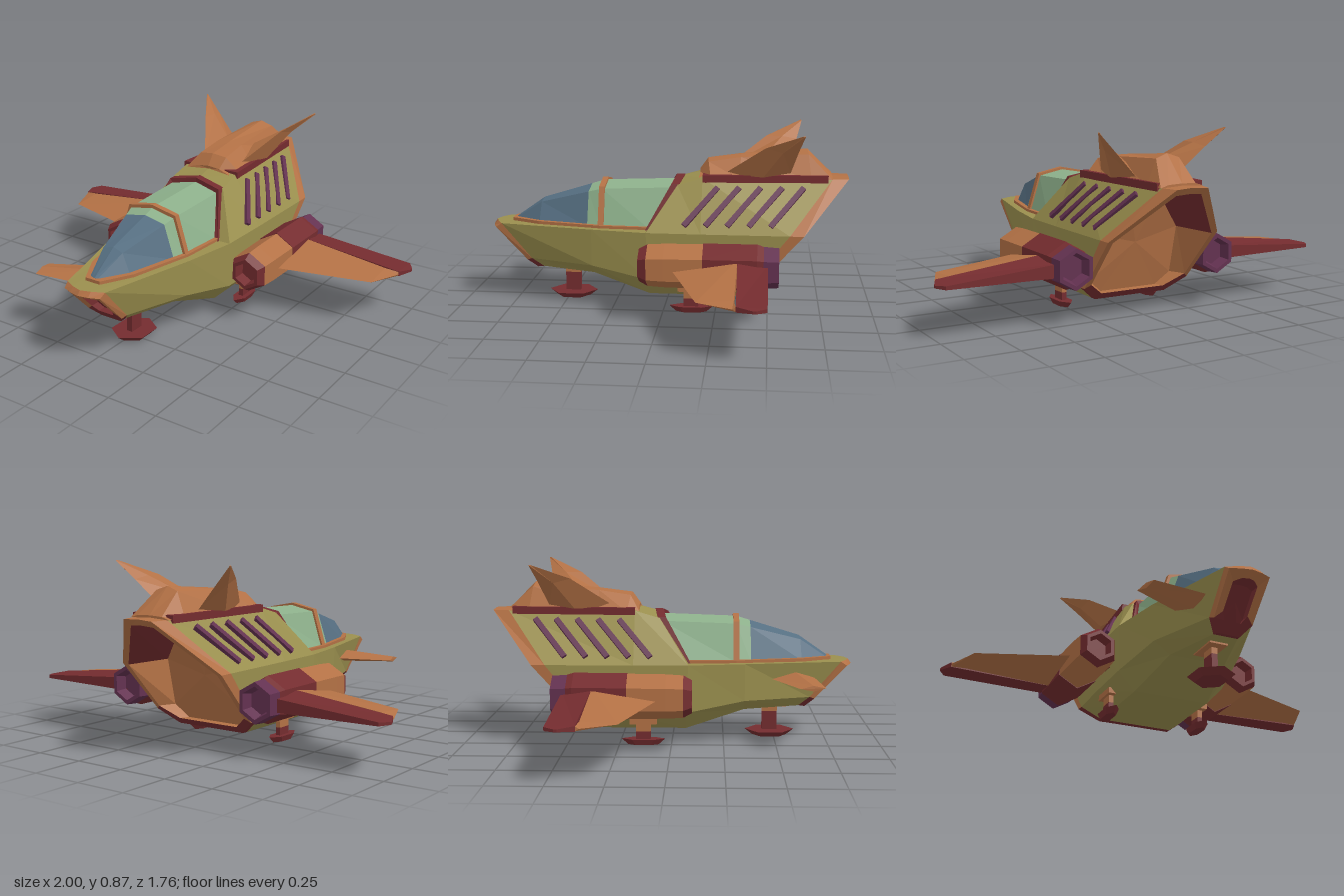
import * as THREE from 'three';

const mat = (name, color) => {
  const m = new THREE.MeshStandardMaterial({ color, side: THREE.DoubleSide });
  m.name = name;
  return m;
};

// Flat normals for a faceted look
const facet = (geo) => {
  const g = geo.index ? geo.toNonIndexed() : geo;
  g.computeVertexNormals();
  return g;
};

// Skin between rings of [x, y, z]; solid lofts are capped and turned outward
function loft(rings, { closed = true, solid = false } = {}) {
  const tris = [], n = rings[0].length;
  const all = solid ? [collapse(rings[0]), ...rings, collapse(rings[rings.length - 1])] : rings;
  for (let i = 0; i < all.length - 1; i++) {
    for (let j = 0; j < (closed ? n : n - 1); j++) {
      const k = (j + 1) % n, a = all[i][j], b = all[i][k], c = all[i + 1][j], d = all[i + 1][k];
      tris.push([a, c, b], [b, c, d]);
    }
  }
  const v = (p) => new THREE.Vector3(...p);
  let volume = 0;
  for (const [a, b, c] of tris) volume += v(a).dot(v(b).cross(v(c)));
  const pos = [];
  for (const [a, b, c] of tris) {
    const area = v(b).sub(v(a)).cross(v(c).sub(v(a))).length();
    if (area < 1e-7) continue;
    pos.push(...a, ...(solid && volume < 0 ? [...c, ...b] : [...b, ...c]));
  }
  const g = new THREE.BufferGeometry();
  g.setAttribute('position', new THREE.Float32BufferAttribute(pos, 3));
  return facet(g);
}

const collapse = (ring) => {
  const c = [0, 1, 2].map((k) => ring.reduce((s, p) => s + p[k], 0) / ring.length);
  return ring.map(() => c);
};
// Mirror a right-hand half section into a full one
const ring = (...half) => [
  ...half,
  ...half.filter((p) => p[0] > 0).reverse().map(([x, y, z]) => [-x, y, z]),
];
const lerpRing = (a, b, t) => a.map((p, i) => p.map((v, k) => v + (b[i][k] - v) * t));

export function createModel() {
  const root = new THREE.Group();
  root.name = 'spacecraft';
  const olive = mat('olive hull', 0x9a8f4e), orange = mat('copper trim', 0xb37145);
  const red = mat('dark red trim', 0x742c2f), purple = mat('plum vents', 0x633150);
  const green = mat('green glass', 0x8db08b), blue = mat('blue glass', 0x566f82);
  const add = (name, geo, material, parent = root) => {
    const m = new THREE.Mesh(geo, material);
    m.name = name;
    parent.add(m);
    return m;
  };

  // Hull sections: keel edge, chine, shoulder, roof edge, roof centre
  const n3 = ring([.04, .2, .65], [.06, .23, .67], [.06, .33, .76], [.03, .34, .77], [0, .34, .775]);
  const n2 = ring([.04, .2, .69], [.06, .23, .715], [.06, .33, .81], [.03, .34, .835], [0, .34, .845]);
  const n1 = ring([.055, .155, .65], [.095, .2, .695], [.1, .365, .85], [.05, .365, .87], [0, .365, .88]);
  const nose = ring([.06, .16, .62], [.105, .21, .67], [.105, .385, .82], [.05, .387, .85], [0, .387, .865]);
  const front = ring([.14, .155, .35], [.22, .21, .35], [.23, .39, .35], [.12, .39, .35], [0, .39, .35]);
  const deckEnd = ring([.19, .07, .07], [.275, .16, .07], [.28, .39, .08], [.14, .39, .08], [0, .39, .08]);
  const wall = ring([.19, .07, .06], [.275, .16, .06], [.28, .39, .08], [.15, .6, -.06], [0, .625, -.075]);
  const mid = ring([.19, .07, -.18], [.28, .15, -.18], [.287, .39, -.18], [.145, .635, -.18], [0, .65, -.18]);
  const tail = ring([.19, .07, -.35], [.28, .14, -.4], [.29, .39, -.6], [.1, .63, -.8], [0, .635, -.8]);
  const rim = ring([.19, .07, -.38], [.28, .14, -.44], [.29, .39, -.666], [.08, .63, -.88], [0, .635, -.88]);
  const lip = ring([.17, .1, -.405], [.255, .16, -.46], [.262, .385, -.66], [.065, .6, -.85], [0, .605, -.855]);
  const bay = ring([.15, .1, -.36], [.22, .16, -.38], [.23, .385, -.42], [.08, .56, -.5], [0, .56, -.5]);
  const upper = (r) => r.slice(1, 8), lower = (r) => [r[7], r[8], r[0], r[1]];

  add('hull', loft([nose, front, deckEnd, wall, mid, tail]), olive);
  add('noseIntake', loft([collapse(n3), n3, n2]), red);
  for (const [name, rings] of [['nose', [n2, n1, nose]], ['tail', [tail, rim, lip]]]) {
    add(name + 'Rim', loft(rings.map(upper), { closed: false }), orange);
    add(name + 'Chin', loft(rings.map(lower), { closed: false }), red);
  }
  // Open rear bay
  add('bayRoof', loft([lip, bay].map((r) => r.slice(2, 7)), { closed: false }), red);
  add('bayFloor', loft([lip, bay].map((r) => [r[6], r[7], r[8], r[0], r[1], r[2]]), { closed: false }), orange);
  add('bayWall', loft([bay, collapse(bay)]), orange);

  // Canopy
  const cTip = ring([.03, .395, .76], [.015, .4, .76], [0, .405, .76]);
  const cNose = ring([.1, .39, .63], [.055, .488, .625], [0, .503, .62]);
  const cMid = ring([.182, .39, .31], [.125, .572, .31], [0, .597, .31]);
  const cRear = ring([.2, .39, .07], [.13, .585, -.05], [0, .61, -.067]);
  const split = lerpRing(cNose, cMid, .78);
  add('windshield', loft([collapse(cTip), cTip, cNose, split], { closed: false }), blue);
  add('canopyGlass', loft([split, cMid, cRear], { closed: false }), green);
  const hoop = (name, r, scale, width, material) => {
    const at = (s, dz) => r.map(([x, y, z]) => [x * s, .39 + (y - .39) * s, z + dz]);
    add(name, loft([at(.98, width), at(scale, width), at(scale, -width), at(.98, -width)], { closed: false }), material);
  };
  hoop('canopyHoop', cMid, 1.06, .014, orange);
  hoop('canopyRearFrame', cRear, 1.1, .02, red);
  const sill = [[.04, .775], [.12, .63], [.2, .31], [.215, .07]];
  const sillPath = [...sill, ...sill.map(([x, z]) => [-x, z]).reverse()];
  add('canopySill', loft([.38, .403].map((y) => sillPath.map(([x, z]) => [x, y, z])), { solid: true }), orange);

  // Dorsal hump on a red base strip
  const base = (z, w, y0, y1) => [[w, y0, z], [w, y1, z], [-w, y1, z], [-w, y0, z]];
  add('humpBase', loft([base(-.18, .158, .615, .65), base(-.78, .117, .615, .65)], { solid: true }), red);
  add('dorsalHump', loft([
    ring([.13, .63, -.16], [.06, .652, -.165], [0, .66, -.16]),
    ring([.15, .63, -.22], [.075, .705, -.205], [0, .715, -.2]),
    ring([.14, .63, -.36], [.07, .728, -.36], [0, .735, -.36]),
    ring([.115, .63, -.7], [.06, .745, -.685], [0, .765, -.68]),
    ring([.11, .63, -.8], [.07, .642, -.8], [0, .645, -.8]),
  ], { solid: true }), orange);

  // Six-sided turned part along z, profile as [radius, z] from back to front
  const hex = (profile) => facet(new THREE.LatheGeometry(profile.map((p) => new THREE.Vector2(...p)), 6).rotateX(Math.PI / 2));
  const skid = (w, l) => facet(new THREE.CylinderGeometry(1, .7, .028, 6).scale(w / .866, 1, l).translate(0, .014, 0));
  const box = (w, y0, y1, d) => new THREE.BoxGeometry(w, y1 - y0, d).translate(0, (y0 + y1) / 2, 0);

  for (const s of [1, -1]) {
    const side = s > 0 ? 'left' : 'right';
    const flip = (rings) => rings.map((r) => r.map(([x, y, z]) => [s * x, y, z]));
    const solid = (name, rings, material) => add(side + name, loft(flip(rings), { solid: true }), material);

    // Engine nacelle
    const pod = new THREE.Group();
    pod.name = side + 'Nacelle';
    pod.position.set(s * .38, .26, 0);
    root.add(pod);
    add('nacelleBody', hex([[.107, -.2], [.105, -.02], [.1, .06]]), orange, pod);
    add('nacelleIntake', hex([[.1, .06], [.078, .1], [.06, .1], [.055, .04], [0, .04]]), red, pod);
    add('nacelleRear', hex([[.1, -.48], [.11, -.45], [.11, -.2], [.107, -.2]]), red, pod);
    add('nacelleNozzle', hex([[0, -.5], [.06, -.5], [.075, -.55], [.095, -.55], [.1, -.48]]), purple, pod);
    add(side + 'Pylon', new THREE.BoxGeometry(.08, .09, .34).translate(s * .29, .26, -.2), red);

    // Wing: copper leading part, red trailing part
    solid('WingFront', [
      [[.42, .255, -.05], [.42, .307, -.36], [.42, .205, -.36]],
      [[.9, .24, -.2], [.9, .253, -.36], [.9, .224, -.36]],
      [[.965, .235, -.355], [.965, .245, -.37], [.965, .225, -.37]],
    ], orange);
    solid('WingRear', [
      [[.42, .307, -.36], [.42, .285, -.5], [.42, .22, -.5], [.42, .205, -.36]],
      [[.967, .247, -.37], [.97, .243, -.5], [.97, .226, -.5], [.967, .223, -.37]],
      [[1, .24, -.44], [1, .24, -.455], [1, .228, -.455], [1, .228, -.44]],
    ], red);

    // Canted tail fin
    solid('Fin', [
      [[.1, .65, -.28], [.16, .645, -.47], [.11, .66, -.6], [.08, .71, -.47]],
      [[.228, .795, -.48], [.245, .775, -.56], [.238, .78, -.633], [.222, .795, -.56]],
      [[.331, .865, -.65], [.334, .862, -.655], [.331, .864, -.66], [.328, .867, -.655]],
    ], orange);

    // Slanted vent slats lying on the sloped hull flank
    const flank = (y, z) => {
      const f = (y - .39) / .245, roof = .145 + (z + .18) * .0726;
      return new THREE.Vector3(s * (.288 + (roof - .288) * f), y, z);
    };
    for (let i = 0; i < 5; i++) {
      const z = -.1 - i * .102, a = flank(.425, z), b = flank(.592, z - .155);
      const along = b.clone().sub(a), len = along.length();
      along.normalize();
      const out = new THREE.Vector3(0, 0, 1).cross(along).multiplyScalar(-s).normalize();
      const across = along.clone().cross(out);
      const slat = new THREE.BoxGeometry(.026, len, .026);
      slat.applyMatrix4(new THREE.Matrix4().makeBasis(across, along, out).setPosition(a.add(b).multiplyScalar(.5)));
      add(side + 'Vent' + (i + 1), slat, purple);
    }

    // Rear landing leg
    const leg = new THREE.Group();
    leg.name = side + 'RearLandingLeg';
    leg.position.set(s * .24, 0, -.135);
    root.add(leg);
    add('skid', skid(.034, .105), red, leg);
    add('lowerLeg', box(.024, .028, .065, .07), red, leg);
    add('upperLeg', box(.024, .065, .15, .07), orange, leg);
    add('legMount', box(.05, .102, .13, .13), orange, leg);
  }

  // Single canard on the right of the nose
  add('canard', loft([
    [[-.13, .31, .69], [-.13, .342, .59], [-.17, .31, .48], [-.13, .28, .59]],
    [[-.39, .305, .72], [-.4, .318, .66], [-.415, .305, .6], [-.4, .292, .66]],
  ], { solid: true }), orange);

  // Front landing leg
  const frontLeg = new THREE.Group();
  frontLeg.name = 'frontLandingLeg';
  frontLeg.position.z = .48;
  root.add(frontLeg);
  add('skid', skid(.09, .122), red, frontLeg);
  add('lowerLeg', box(.03, .028, .12, .075), red, frontLeg);
  add('upperLeg', box(.03, .12, .18, .075), orange, frontLeg);
  add('legMount', box(.09, .15, .17, .16), orange, frontLeg);

  return root;
}
